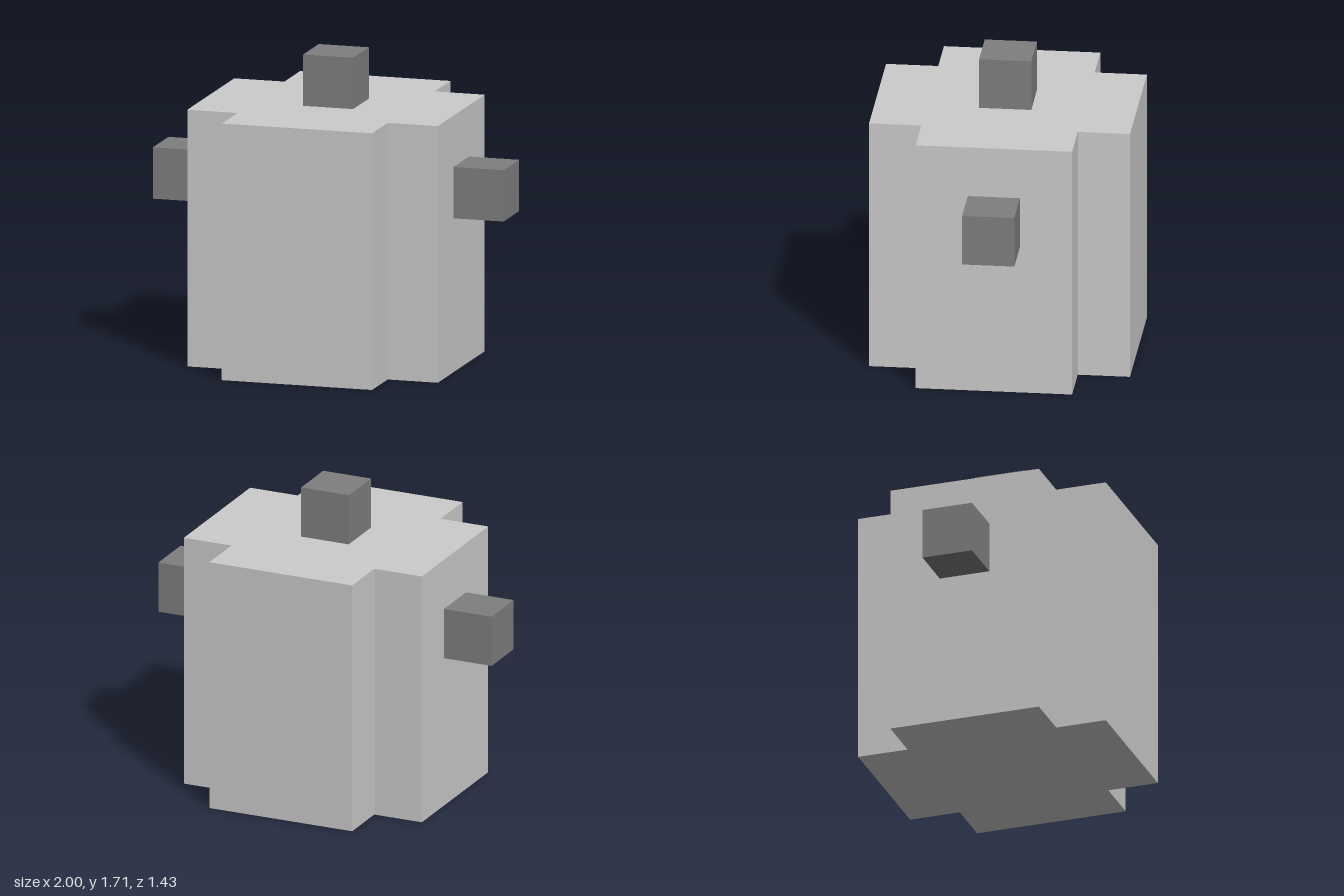
import * as THREE from 'three';

const U = 1 / 7; // one block of the modelling grid

export function createModel() {
  const model = new THREE.Group();
  const bodyMaterial = new THREE.MeshStandardMaterial({ color: 0xcccccc });
  const knobMaterial = new THREE.MeshStandardMaterial({ color: 0x7f7f7f });

  // Body: plus-shaped outline extruded upwards
  const outer = 5 * U, inner = 3 * U;
  const corners = [[1, 1], [-1, 1], [-1, -1], [1, -1]];
  const outline = corners.flatMap(([sx, sy], i) => {
    const steps = [[outer, inner], [inner, inner], [inner, outer]];
    if (i % 2) steps.reverse();
    return steps.map(([x, y]) => new THREE.Vector2(sx * x, sy * y));
  });
  const bodyGeometry = new THREE.ExtrudeGeometry(new THREE.Shape(outline), {
    depth: 10 * U,
    bevelEnabled: false,
  });
  bodyGeometry.rotateX(-Math.PI / 2);
  const body = new THREE.Mesh(bodyGeometry, bodyMaterial);
  body.name = 'body';
  model.add(body);

  // Cube knobs on the top and both sides
  const knobGeometry = new THREE.BoxGeometry(2 * U, 2 * U, 2 * U);
  const addKnob = (name, x, y) => {
    const knob = new THREE.Mesh(knobGeometry, knobMaterial);
    knob.name = name;
    knob.position.set(x * U, y * U, 0);
    model.add(knob);
  };
  addKnob('topKnob', 0, 11);
  addKnob('leftKnob', 6, 7);
  addKnob('rightKnob', -6, 7);

  return model;
}
